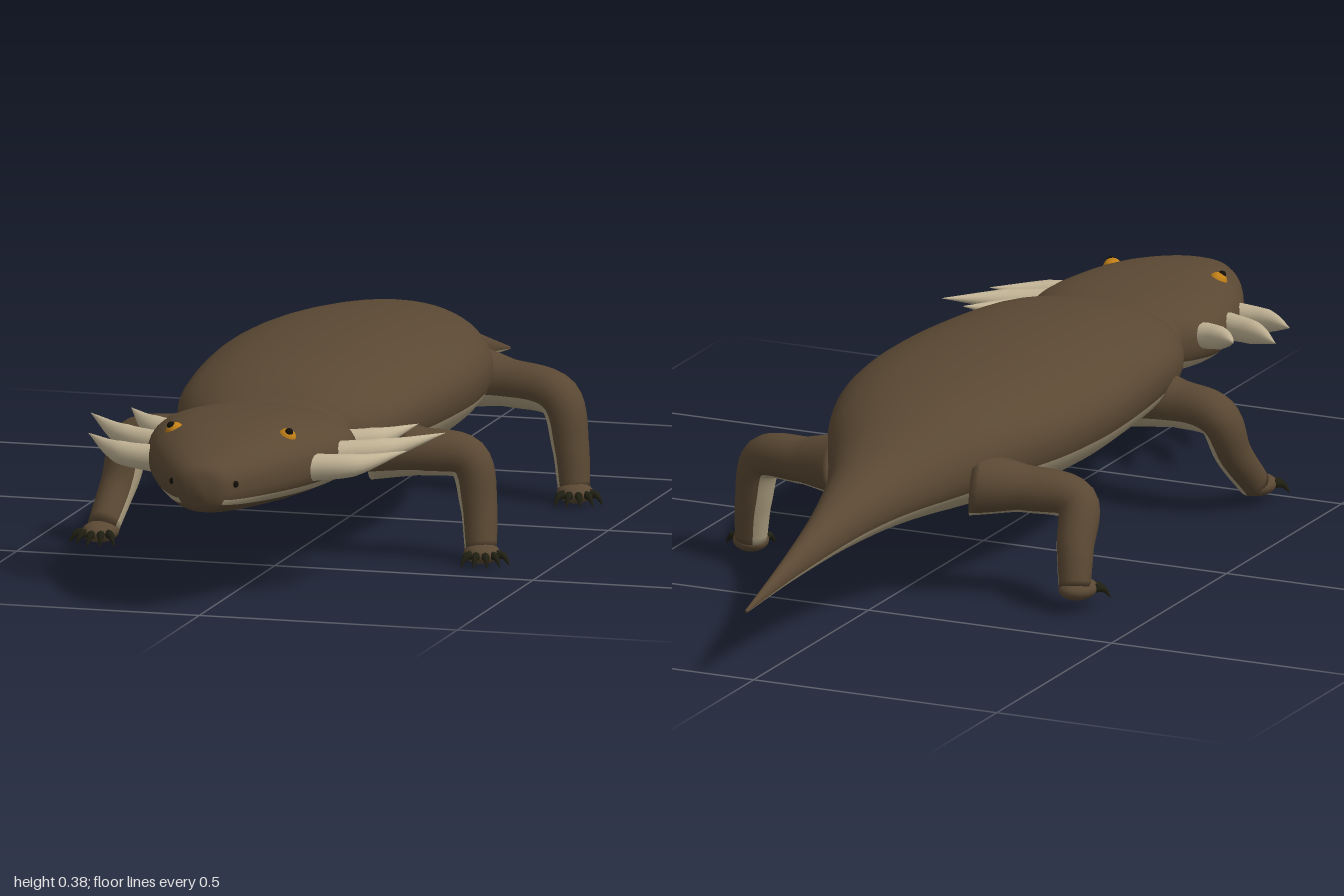
import * as THREE from 'three';

const V = (x, y, z) => new THREE.Vector3(x, y, z);
const mat = (name, color) => Object.assign(new THREE.MeshStandardMaterial({ color }), { name });

// Skin over a list of closed rings; isPale(ring, segment) picks the second material
function loft(rings, isPale = () => false) {
  const n = rings[0].length, last = rings.length - 1;
  const verts = rings.flat();
  const mid = ring => ring.reduce((s, p) => s.add(p), V(0, 0, 0)).divideScalar(n);
  const start = verts.push(mid(rings[0])) - 1, end = verts.push(mid(rings[last])) - 1;
  const main = [], pale = [];
  for (let j = 0; j < n; j++) {
    const k = (j + 1) % n;
    for (let i = 0; i < last; i++) {
      const a = i * n + j, b = i * n + k, c = b + n, d = a + n;
      (isPale(i, j) ? pale : main).push(a, b, c, a, c, d);
    }
    main.push(start, k, j, end, last * n + j, last * n + k);
  }
  const g = new THREE.BufferGeometry().setFromPoints(verts);
  g.setIndex([...main, ...pale]);
  g.addGroup(0, main.length, 0);
  g.addGroup(main.length, pale.length, 1);
  g.computeVertexNormals();
  return g;
}

// Tapered round limb along a smooth path, "out" marks its outer side
function limb(points, radii, out, steps, sides, isPale) {
  const curve = new THREE.CatmullRomCurve3(points);
  const rings = [];
  for (let i = 0; i <= steps; i++) {
    const t = i / steps, f = t * (radii.length - 1), k = Math.min(Math.floor(f), radii.length - 2);
    const r = THREE.MathUtils.lerp(radii[k], radii[k + 1], f - k);
    const p = curve.getPoint(t), T = curve.getTangent(t);
    const u = out.clone().addScaledVector(T, -out.dot(T)).normalize();
    const v = T.clone().cross(u);
    rings.push(Array.from({ length: sides }, (_, j) => {
      const a = j / sides * Math.PI * 2;
      return p.clone().addScaledVector(u, r * Math.cos(a)).addScaledVector(v, r * Math.sin(a));
    }));
  }
  return loft(rings, isPale);
}

export function createModel() {
  const model = new THREE.Group();
  const hide = mat('brown hide', 0x5a4833), belly = mat('pale belly', 0xa89a7c);
  const horn = mat('horn', 0xc0b294), claw = mat('dark claw', 0x1f1f12);
  const amber = mat('amber eye', 0xc07f16), black = mat('black', 0x120f0a);
  const add = (name, geo, material, parent = model) => {
    const m = new THREE.Mesh(geo, material);
    m.name = name;
    parent.add(m);
    return m;
  };

  // Body from tail tip to snout: z, half width, top, widest height, bottom
  const profile = [
    [-1, 0.003, 0.138, 0.135, 0.132], [-0.85, 0.016, 0.185, 0.163, 0.145],
    [-0.7, 0.036, 0.232, 0.19, 0.155], [-0.6, 0.056, 0.264, 0.21, 0.158],
    [-0.5, 0.085, 0.295, 0.225, 0.16], [-0.4, 0.13, 0.33, 0.24, 0.158],
    [-0.3, 0.18, 0.358, 0.258, 0.15], [-0.15, 0.232, 0.377, 0.268, 0.138],
    [0, 0.253, 0.385, 0.272, 0.135], [0.15, 0.25, 0.385, 0.272, 0.137],
    [0.3, 0.235, 0.376, 0.27, 0.142], [0.4, 0.218, 0.365, 0.265, 0.155],
    [0.48, 0.185, 0.345, 0.26, 0.17], [0.53, 0.15, 0.322, 0.255, 0.177],
    [0.57, 0.175, 0.326, 0.255, 0.178], [0.62, 0.194, 0.331, 0.255, 0.178],
    [0.7, 0.186, 0.333, 0.255, 0.178], [0.8, 0.156, 0.33, 0.252, 0.18],
    [0.9, 0.108, 0.312, 0.248, 0.185], [0.965, 0.066, 0.292, 0.243, 0.193],
    [0.99, 0.042, 0.277, 0.24, 0.203], [1, 0.008, 0.25, 0.24, 0.23],
  ];
  const smooth = f => new THREE.CatmullRomCurve3(profile.map(f), false, 'catmullrom', 0.5);
  const shape = smooth(([, w, t, , b]) => V(w, t, b)), spine = smooth(([z, , , c]) => V(0, c, z));
  const SEG = 48, STEPS = 105, bodyRings = [], zs = [];
  for (let i = 0; i <= STEPS; i++) {
    const s = shape.getPoint(i / STEPS), { y: c, z } = spine.getPoint(i / STEPS);
    const power = z > 0.5 ? 0.85 : 0.95, lean = z < -0.4 ? (-0.4 - z) * 0.025 : 0;
    zs.push(z);
    bodyRings.push(Array.from({ length: SEG }, (_, j) => {
      const a = j / SEG * Math.PI * 2, ca = Math.cos(a), sa = Math.sin(a);
      const x = Math.sign(ca) * Math.abs(ca) ** power * s.x;
      const y = Math.sign(sa) * Math.abs(sa) ** power * (sa > 0 ? s.y - c : c - s.z);
      return V(x + lean, c + y, z);
    }));
  }
  // Pale belly and throat, with a pale lip line along the jaw
  add('body', loft(bodyRings, (i, j) => {
    const below = -Math.asin(Math.sin((j + 0.5) / SEG * Math.PI * 2)) * 180 / Math.PI, z = zs[i];
    if (z > 0.68) return z < 0.985 && below > 25 && below < 40;
    return below > (z < -0.35 || z > 0.52 ? 25 : 15);
  }), [hide, belly]);

  // Legs: path from shoulder to ankle, foot heading in radians
  const legs = [
    ['frontLeftLeg', [[0.15, 0.21, 0.35], [0.24, 0.205, 0.345], [0.325, 0.193, 0.335], [0.348, 0.11, 0.34], [0.358, 0.03, 0.36]], 0.45],
    ['frontRightLeg', [[-0.15, 0.21, 0.36], [-0.24, 0.205, 0.35], [-0.32, 0.193, 0.34], [-0.34, 0.12, 0.365], [-0.353, 0.045, 0.43]], -0.15],
    ['rearLeftLeg', [[0.13, 0.22, -0.32], [0.22, 0.212, -0.3], [0.325, 0.195, -0.27], [0.35, 0.11, -0.26], [0.36, 0.03, -0.25]], 0.45],
    ['rearRightLeg', [[-0.13, 0.22, -0.32], [-0.22, 0.212, -0.29], [-0.32, 0.195, -0.275], [-0.34, 0.12, -0.32], [-0.35, 0.052, -0.345]], -0.2],
  ];
  for (const [name, path, heading] of legs) {
    const leg = new THREE.Group();
    leg.name = name;
    model.add(leg);
    const side = Math.sign(path[0][0]), pts = path.map(p => V(...p)), ankle = pts[4];
    add('limb', limb(pts, [0.062, 0.045, 0.041, 0.035, 0.03], V(side, 1, 0).normalize(), 28, 20,
      (i, j) => Math.cos((j + 0.5) / 20 * Math.PI * 2) < -0.55), [hide, belly], leg);
    const foot = new THREE.Group();
    foot.name = 'foot';
    foot.position.copy(ankle);
    foot.rotation.y = heading;
    leg.add(foot);
    const pad = add('pad', new THREE.SphereGeometry(1, 20, 12), hide, foot);
    pad.scale.set(0.034, 0.02, 0.042);
    pad.position.set(0, -0.006, 0.012);
    // Five toes, each ending in a hooked claw
    for (let k = -2; k <= 2; k++) {
      const a = k * 0.42, at = (r, y) => V(Math.sin(a) * r, y, Math.cos(a) * r + 0.01);
      add('toe', limb([at(0.01, -0.006), at(0.028, -0.004), at(0.042, -0.01)], [0.01, 0.009, 0.005], V(0, 1, 0), 6, 8), hide, foot);
      add('claw', limb([at(0.033, -0.006), at(0.048, -0.007), at(0.062, -0.025)], [0.009, 0.007, 0.0005], V(0, 1, 0), 6, 8), claw, foot);
    }
  }

  for (const s of [-1, 1]) {
    const label = s > 0 ? 'left' : 'right';
    // Three swept-back cheek horns
    const horns = [
      [[0.15, 0.262, 0.6], [0.215, 0.27, 0.572], [0.278, 0.288, 0.5]],
      [[0.16, 0.258, 0.69], [0.25, 0.265, 0.645], [0.343, 0.283, 0.545]],
      [[0.14, 0.25, 0.775], [0.225, 0.255, 0.755], [0.308, 0.272, 0.68]],
    ];
    for (const h of horns) {
      add(label + 'CheekHorn', limb(h.map(([x, y, z]) => V(s * x, y, z)),
        [0.027, 0.022, 0.0005], V(0, 1, 0), 14, 14), horn);
    }
    // Eye with a pupil, and a nostril
    const eye = add(label + 'Eye', new THREE.SphereGeometry(0.018, 20, 14), amber);
    eye.position.set(s * 0.108, 0.307, 0.79);
    const pupil = add(label + 'Pupil', new THREE.SphereGeometry(0.008, 14, 10), black);
    pupil.position.set(s * 0.114, 0.319, 0.796);
    const nostril = add(label + 'Nostril', new THREE.SphereGeometry(0.007, 12, 8), black);
    nostril.position.set(s * 0.06, 0.25, 0.968);
  }
  return model;
}
